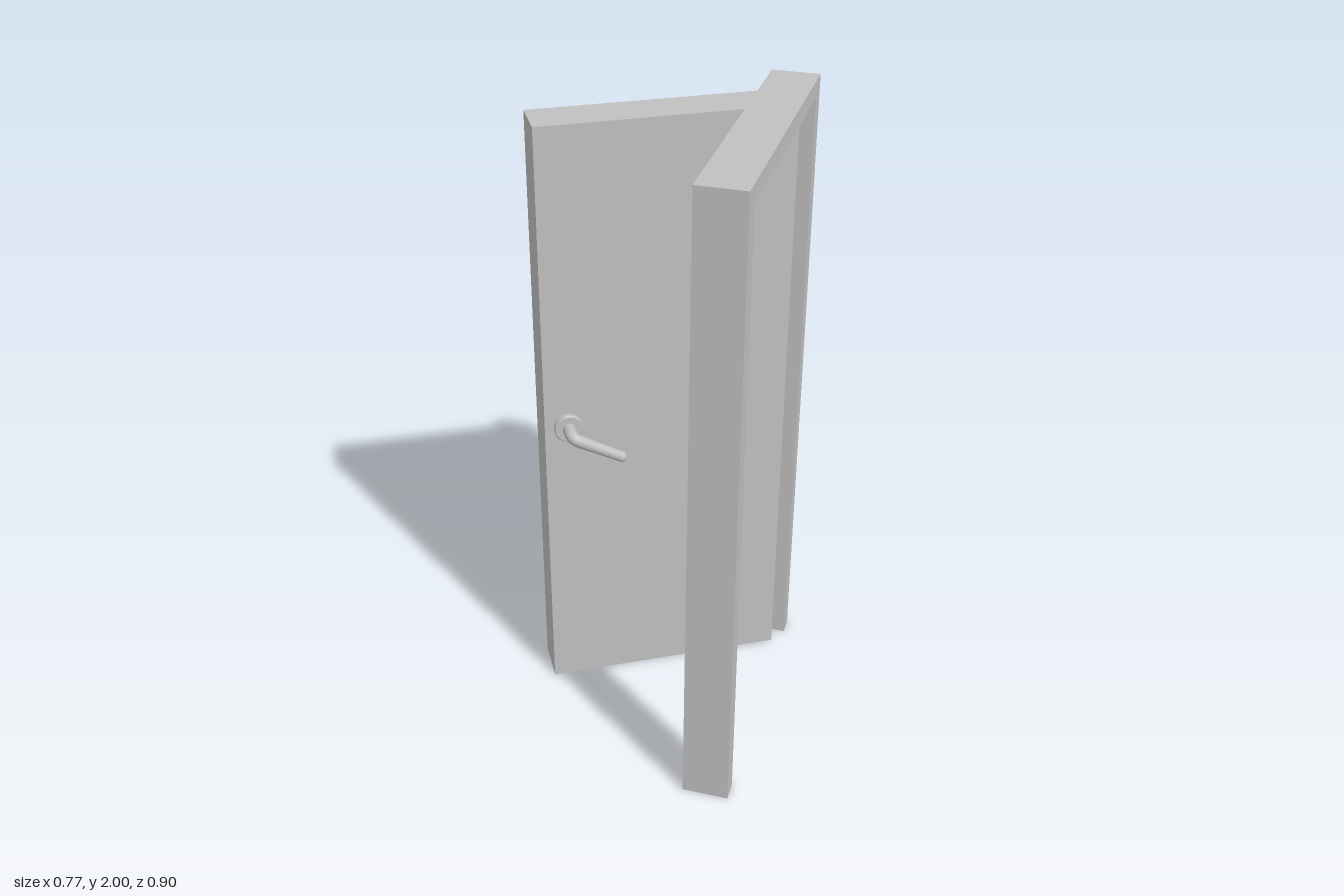
import * as THREE from 'three';

const metalGrey = new THREE.MeshStandardMaterial({ color: 0xc0c0c0 });
metalGrey.name = 'plain grey';

function part(name, geometry, parent) {
  const mesh = new THREE.Mesh(geometry, metalGrey);
  mesh.name = name;
  parent.add(mesh);
  return mesh;
}

// Tube along a curve whose radius shrinks from r0 to r1
function taperedTube(curve, r0, r1, steps = 40, sides = 20) {
  const geo = new THREE.TubeGeometry(curve, steps, r0, sides);
  const pos = geo.attributes.position;
  const v = new THREE.Vector3();
  for (let i = 0; i <= steps; i++) {
    const centre = curve.getPointAt(i / steps);
    const k = THREE.MathUtils.lerp(1, r1 / r0, i / steps);
    for (let j = 0; j <= sides; j++) {
      const n = i * (sides + 1) + j;
      v.fromBufferAttribute(pos, n).sub(centre).multiplyScalar(k).add(centre);
      pos.setXYZ(n, v.x, v.y, v.z);
    }
  }
  return geo;
}

// Lever handle standing on z = 0, pointing out along z * side
function makeHandle(name, side) {
  const handle = new THREE.Group();
  handle.name = name;

  // Round plate with a slightly softened rim
  const rim = [[0, 0], [0.045, 0], [0.045, 0], [0.045, 0.014], [0.045, 0.014], [0.042, 0.017], [0.042, 0.017], [0, 0.017]];
  const rosette = part('rosette', new THREE.LatheGeometry(rim.map(([x, y]) => new THREE.Vector2(x, y)), 40), handle);
  rosette.rotation.x = side * Math.PI / 2;

  // Stem, rounded bend and drooping grip
  const out = 0.075;
  const at = (x, y, z) => new THREE.Vector3(x, y, z * side);
  const path = new THREE.CurvePath();
  path.add(new THREE.LineCurve3(at(0, 0, 0), at(0, 0, out - 0.025)));
  path.add(new THREE.QuadraticBezierCurve3(at(0, 0, out - 0.025), at(0, 0, out), at(0.022, -0.0125, out)));
  path.add(new THREE.LineCurve3(at(0.022, -0.0125, out), at(0.15, -0.085, out)));
  part('lever', taperedTube(path, 0.021, 0.0165), handle);
  part('leverTip', new THREE.SphereGeometry(0.0165, 20, 14), handle).position.copy(at(0.15, -0.085, out));
  return handle;
}

export function createModel() {
  const model = new THREE.Group();
  model.name = 'openDoor';

  // Door frame: one arch outline, pushed through its depth
  const outline = [[-0.448, 0], [-0.387, 0], [-0.387, 1.947], [0.39, 1.947], [0.39, 0], [0.443, 0], [0.443, 2], [-0.448, 2]];
  const arch = new THREE.Shape(outline.map(([x, y]) => new THREE.Vector2(x, y)));
  const frameGeo = new THREE.ExtrudeGeometry(arch, { depth: 0.142, bevelEnabled: false });
  frameGeo.rotateY(Math.PI / 2);
  part('doorFrame', frameGeo, model).position.x = 0.242;

  // Door leaf, swung open by 30 degrees off the wall's normal
  const width = 0.768, height = 1.945, thick = 0.14;
  const door = new THREE.Group();
  door.name = 'door';
  door.position.set(-0.314, 0, 0.053);
  door.rotation.y = Math.PI / 6;
  model.add(door);
  part('doorLeaf', new THREE.BoxGeometry(width, height, thick), door).position.set(width / 2, height / 2, -thick / 2);

  // A lever on each face
  for (const [name, side, z] of [['frontHandle', 1, 0], ['backHandle', -1, -thick]]) {
    const handle = makeHandle(name, side);
    handle.position.set(0.073, 0.978, z);
    door.add(handle);
  }
  return model;
}
